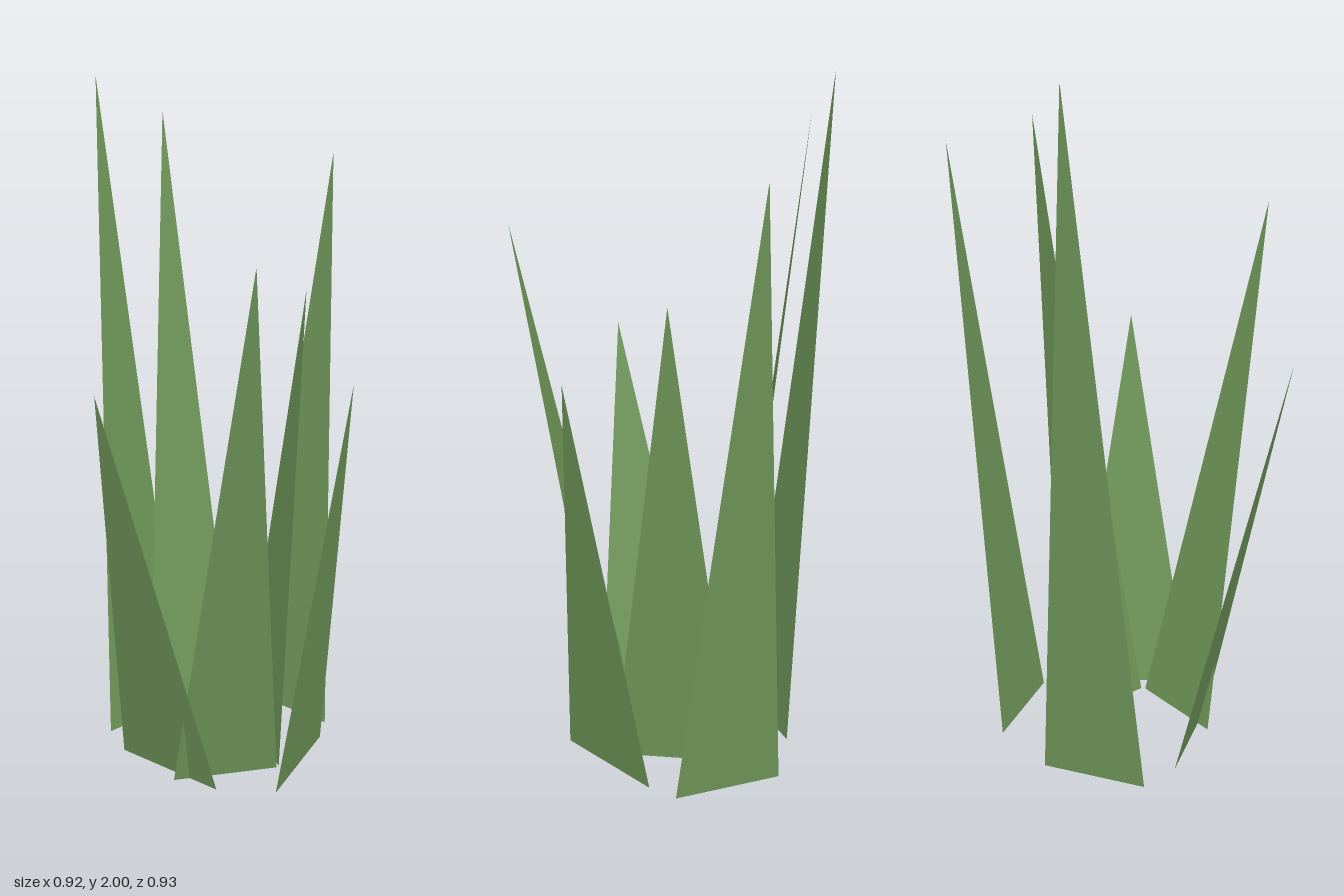
import * as THREE from 'three';

// Each blade: two base corners [x, z] on the ground, then its tip [x, y, z]
const BLADES = [
  { base: [[-0.295, -0.247], [-0.005, -0.362]], tip: [-0.216, 2.0, -0.468] },
  { base: [[-0.191, -0.174], [0.109, -0.171]], tip: [-0.038, 1.9, -0.39] },
  { base: [[0.348, -0.025], [0.218, -0.325]], tip: [0.461, 1.77, -0.253] },
  { base: [[0.092, 0.165], [0.135, -0.196]], tip: [0.246, 1.41, 0.001] },
  { base: [[0.014, 0.305], [0.29, 0.053]], tip: [0.25, 1.195, 0.286] },
  { base: [[-0.228, 0.116], [0.081, 0.172]], tip: [-0.133, 1.575, 0.466] },
  { base: [[-0.298, -0.117], [-0.136, 0.218]], tip: [-0.463, 1.21, 0.17] },
];

// A flat three-cornered blade
function bladeGeometry({ base: [a, b], tip }) {
  const geometry = new THREE.BufferGeometry();
  const corners = [a[0], 0, a[1], b[0], 0, b[1], ...tip];
  geometry.setAttribute('position', new THREE.Float32BufferAttribute(corners, 3));
  geometry.computeVertexNormals();
  return geometry;
}

export function createModel() {
  const grassGreen = new THREE.MeshStandardMaterial({ color: 0x6f9759, side: THREE.DoubleSide });
  grassGreen.name = 'grass green';

  const tuft = new THREE.Group();
  tuft.name = 'grassTuft';

  // Ring of blades leaning outwards
  BLADES.forEach((blade, i) => {
    const mesh = new THREE.Mesh(bladeGeometry(blade), grassGreen);
    mesh.name = `grassBlade${i + 1}`;
    tuft.add(mesh);
  });
  return tuft;
}
